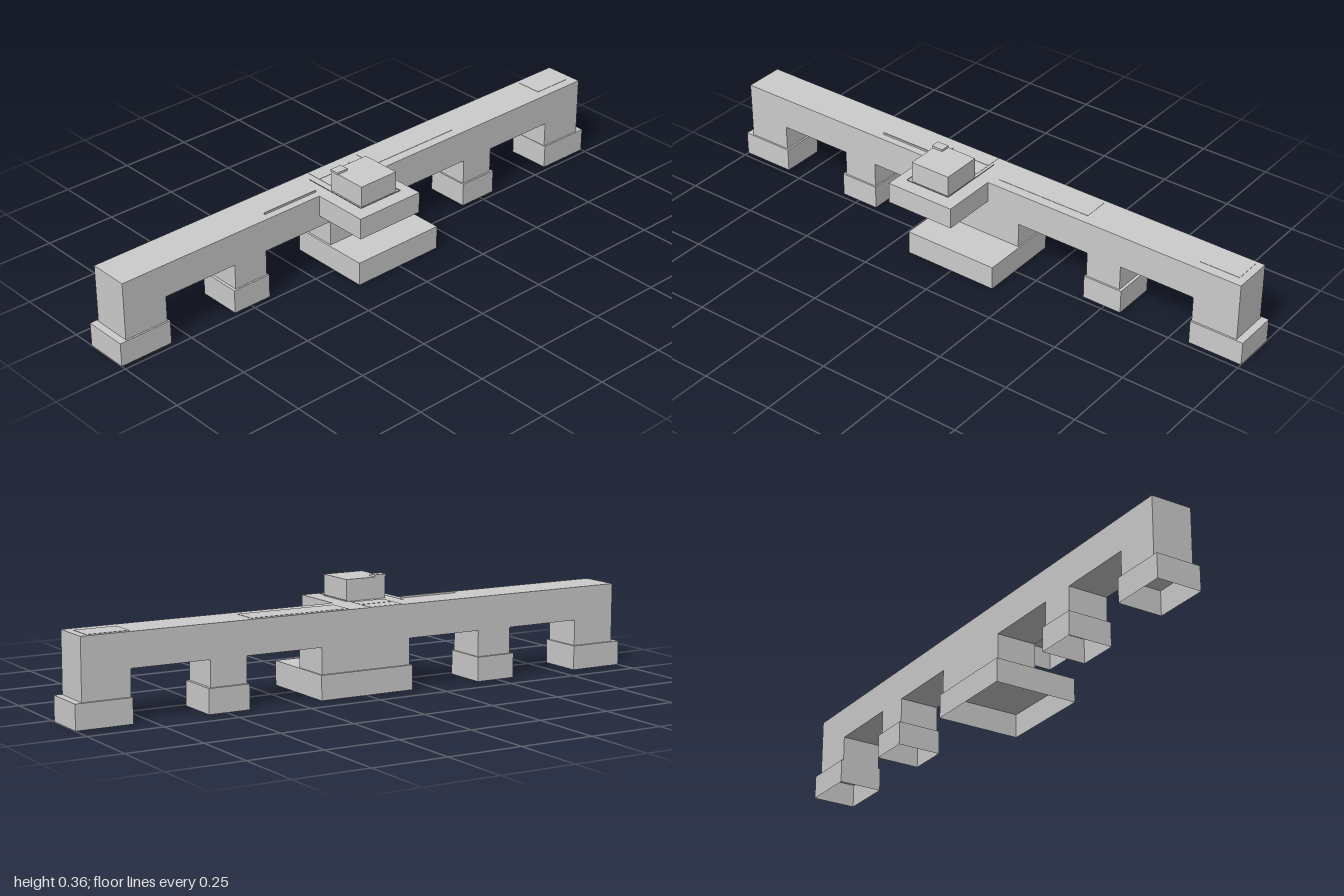
import * as THREE from 'three';

const material = new THREE.MeshStandardMaterial({ color: 0xcccccc, flatShading: true, side: THREE.DoubleSide });

function add(group, name, geometry) {
  const mesh = new THREE.Mesh(geometry, material);
  mesh.name = name;
  group.add(mesh);
  return mesh;
}

// Box given by its limits on each axis; the listed faces (2 top, 3 bottom) are left open
function box(x0, x1, y0, y1, z0, z1, open = []) {
  const g = new THREE.BoxGeometry(x1 - x0, y1 - y0, z1 - z0);
  g.translate((x0 + x1) / 2, (y0 + y1) / 2, (z0 + z1) / 2);
  g.setIndex(Array.from(g.index.array).filter((_, i) => !open.includes(Math.floor(i / 6))));
  return g;
}

export function createModel() {
  const model = new THREE.Group();
  model.name = 'elevatedBlock';

  // Long wall with four openings between the piers, drawn in z and y
  const wall = new THREE.Shape();
  const bottom = 0.08, soffit = 0.167, top = 0.278;
  wall.moveTo(-0.975, top);
  wall.lineTo(-0.975, bottom);
  for (const [a, b] of [[-0.815, -0.55], [-0.425, -0.16], [0.165, 0.43], [0.555, 0.82]]) {
    wall.lineTo(a, bottom);
    wall.lineTo(a, soffit);
    wall.lineTo(b, soffit);
    wall.lineTo(b, bottom);
  }
  wall.lineTo(0.975, bottom);
  wall.lineTo(0.975, top);
  const wallGeometry = new THREE.ExtrudeGeometry(wall, { depth: 0.138, bevelEnabled: false });
  wallGeometry.rotateY(-Math.PI / 2).translate(-0.024, 0, 0);
  add(model, 'wall', wallGeometry);

  // Hollow feet, open underneath
  for (const [z0, z1] of [[-1, -0.813], [-0.56, -0.42], [0.425, 0.565], [0.813, 1]]) {
    add(model, 'foot', box(-0.17, -0.018, 0, 0.081, z0, z1, [3]));
  }
  add(model, 'centreBase', box(-0.17, 0.121, 0, 0.081, -0.165, 0.172, [3]));

  // Side platform: open sleeve with a top that opens into the upper housing
  add(model, 'platformSides', box(-0.024, 0.17, 0.206, 0.278, -0.038, 0.21, [2, 3]));
  const lid = new THREE.Shape();
  lid.moveTo(-0.024, -0.21);
  lid.lineTo(0.17, -0.21);
  lid.lineTo(0.17, 0.038);
  lid.lineTo(-0.024, 0.038);
  const hole = new THREE.Path();
  hole.moveTo(-0.02, -0.155);
  hole.lineTo(-0.02, -0.015);
  hole.lineTo(0.113, -0.015);
  hole.lineTo(0.113, -0.155);
  lid.holes.push(hole);
  add(model, 'platformTop', new THREE.ShapeGeometry(lid).rotateX(-Math.PI / 2).translate(0, 0.278, 0));

  // Upper housing with a small raised corner
  add(model, 'housing', box(-0.024, 0.116, 0.278, 0.349, 0.013, 0.158, [3]));
  add(model, 'raisedCorner', box(-0.024, 0.008, 0.349, 0.356, 0.12, 0.162, [3]));

  // Thin panels on the deck
  for (const [x0, x1, z0, z1] of [
    [-0.147, -0.058, -0.95, -0.81], [-0.147, -0.058, -0.4, -0.055],
    [-0.16, -0.104, 0.02, 0.14], [-0.1, -0.042, 0.02, 0.14],
  ]) {
    add(model, 'deckPanel', box(x0, x1, top, top + 0.001, z0, z1));
  }

  // Fine trim: a rail along the deck and thin strips around the housing
  add(model, 'deckRail', box(-0.054, -0.05, top, 0.284, 0.2, 0.41));
  for (const z of [0.005, 0.17]) {
    add(model, 'trimStrip', box(-0.115, 0.128, 0.283, 0.2845, z - 0.001, z + 0.001));
  }
  add(model, 'trimStrip', box(0.126, 0.128, 0.283, 0.2845, 0.005, 0.17));

  return model;
}
